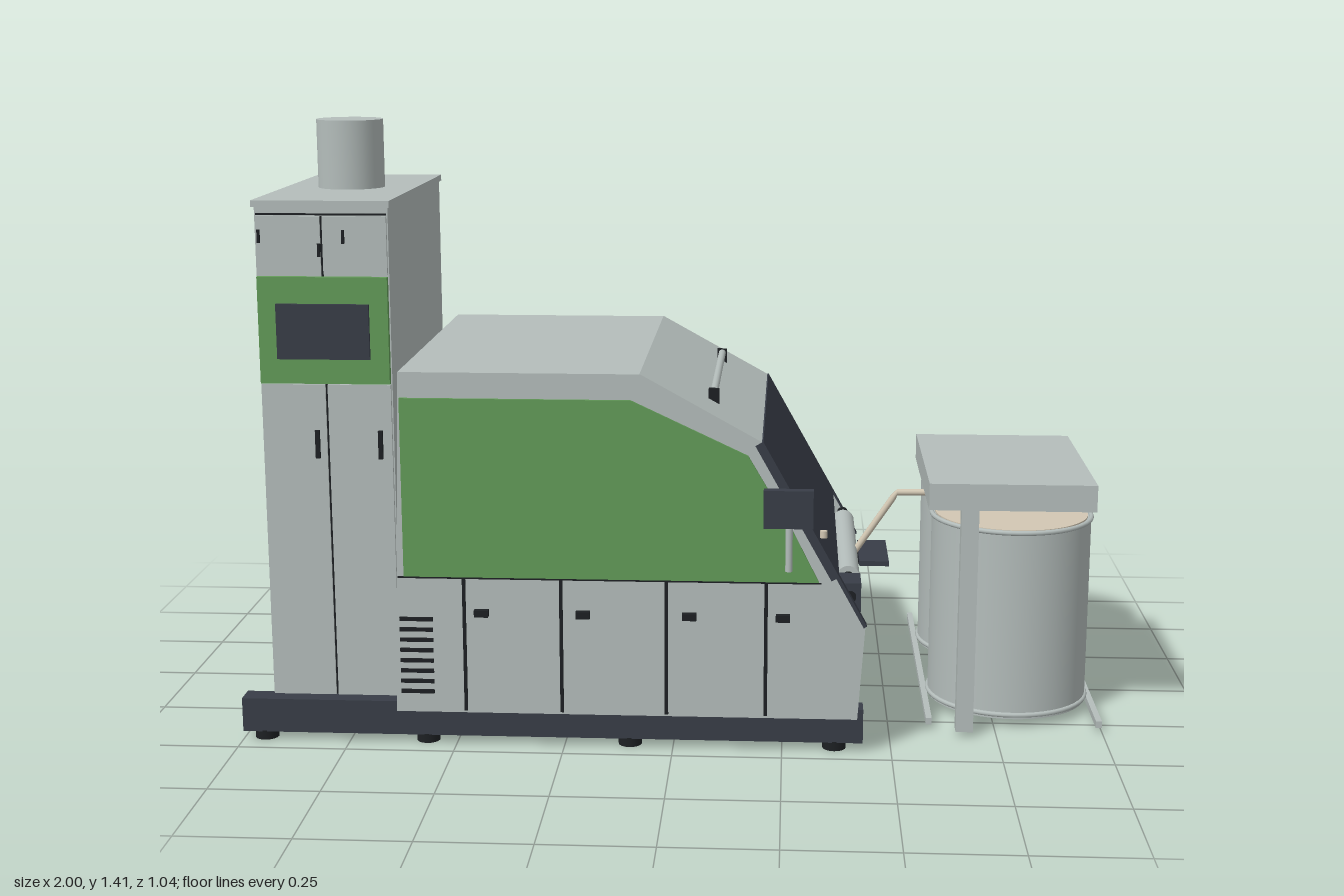
import * as THREE from 'three';

const mat = (name, color, side = THREE.FrontSide) => {
  const m = new THREE.MeshStandardMaterial({ color, side });
  m.name = name;
  return m;
};

export function createModel() {
  const grey = mat('pale grey paint', 0xb4bdbb);
  const green = mat('green paint', 0x639c59);
  const dark = mat('dark slate', 0x383d47);
  const black = mat('black', 0x1d2023);
  const teal = mat('teal', 0x1f6274);
  const tan = mat('cream fibre', 0xd2c7b3);
  const root = new THREE.Group();
  root.name = 'cardingMachine';

  const add = (name, geo, m, parent = root) => {
    const mesh = new THREE.Mesh(geo, m);
    mesh.name = name;
    parent.add(mesh);
    return mesh;
  };
  // Box given by its extents
  const box = (name, m, x0, x1, y0, y1, z0, z1, parent) => {
    const b = add(name, new THREE.BoxGeometry(x1 - x0, y1 - y0, z1 - z0), m, parent);
    b.position.set((x0 + x1) / 2, (y0 + y1) / 2, (z0 + z1) / 2);
    return b;
  };
  // Upright cylinder from y0 to y1
  const post = (name, m, r, x, z, y0, y1, parent, seg = 32) => {
    const c = add(name, new THREE.CylinderGeometry(r, r, y1 - y0, seg), m, parent);
    c.position.set(x, (y0 + y1) / 2, z);
    return c;
  };
  // Cylinder lying along z
  const roll = (name, m, r, x, y, z0, z1, parent, seg = 40) => {
    const c = add(name, new THREE.CylinderGeometry(r, r, z1 - z0, seg), m, parent);
    c.rotation.x = Math.PI / 2;
    c.position.set(x, y, (z0 + z1) / 2);
    return c;
  };
  // Outline in x, y pushed along z
  const slab = (name, m, pts, z0, z1, parent) => {
    const s = new THREE.Shape(pts.map(p => new THREE.Vector2(...p)));
    const e = add(name, new THREE.ExtrudeGeometry(s, { depth: z1 - z0, bevelEnabled: false }), m, parent);
    e.position.z = z0;
    return e;
  };
  // Thin sheet between two profile points, thickness towards the inside
  const sheet = (name, m, a, b, t, z0, z1, parent) => {
    const dx = b[0] - a[0], dy = b[1] - a[1], l = Math.hypot(dx, dy);
    const nx = dy / l * t, ny = -dx / l * t;
    return slab(name, m, [a, [a[0] + nx, a[1] + ny], [b[0] + nx, b[1] + ny], b], z0, z1, parent);
  };

  // Base rails and feet
  const base = new THREE.Group();
  base.name = 'base';
  root.add(base);
  for (const z of [-0.265, 0.425]) {
    box('baseRail', dark, -1, 0.435, 0.02, 0.1, z - 0.026, z + 0.026, base);
    for (const x of [-0.95, -0.57, -0.1, 0.37]) post('foot', black, 0.027, x, z, 0, 0.022, base, 16);
  }
  box('crossBeam', dark, -0.06, 0, 0.04, 0.09, -0.25, 0.41, base);

  // Filter tower with chimney
  const tower = new THREE.Group();
  tower.name = 'tower';
  root.add(tower);
  box('towerBody', grey, -0.935, -0.635, 0.08, 1.24, -0.25, 0.405, tower);
  box('towerRoof', grey, -0.94, -0.63, 1.235, 1.25, -0.255, 0.415, tower);
  box('towerFloor', teal, -0.92, -0.65, 0.073, 0.081, -0.235, 0.39, tower);
  post('chimney', grey, 0.078, -0.785, 0.08, 1.25, 1.41, tower);
  for (const [x0, x1] of [[-0.932, -0.787], [-0.782, -0.638]]) {
    box('towerDoor', grey, x0, x1, 0.1, 0.835, 0.4, 0.412, tower);
    box('towerUpperDoor', grey, x0, x1, 1.085, 1.215, 0.4, 0.412, tower);
  }
  box('doorSeam', black, -0.787, -0.782, 0.1, 1.215, 0.403, 0.408, tower);
  box('roofSeam', black, -0.932, -0.638, 1.217, 1.221, 0.403, 0.408, tower);
  box('controlPanel', green, -0.932, -0.638, 0.838, 1.08, 0.4, 0.42, tower);
  box('screen', dark, -0.89, -0.68, 0.895, 1.02, 0.42, 0.428, tower);
  for (const x of [-0.808, -0.664]) box('towerHandle', black, x - 0.005, x + 0.005, 0.665, 0.73, 0.41, 0.42, tower);
  for (const [x, y] of [[-0.925, 1.17], [-0.79, 1.14], [-0.735, 1.17]])
    box('latch', black, x - 0.003, x + 0.003, y - 0.015, y + 0.015, 0.41, 0.418, tower);

  // Main housing: two side walls joined by covers
  const housing = new THREE.Group();
  housing.name = 'housing';
  root.add(housing);
  const wall = [[-0.63, 0.09], [0.42, 0.09], [0.435, 0.31], [0.2, 0.73], [-0.07, 0.88], [-0.607, 0.88]];
  const greenPanel = [[-0.605, 0.412], [0.33, 0.412], [0.27, 0.53], [0.17, 0.7], [-0.09, 0.822], [-0.605, 0.822]];
  for (const [zIn, s] of [[0.46, 1], [-0.3, -1]]) {
    // d measures outwards from the inner face of the wall
    const span = (d0, d1) => [zIn + s * d0, zIn + s * d1].sort((a, b) => a - b);
    slab('sideWall', grey, wall, ...span(0, 0.027), housing);
    slab('greenSidePanel', green, greenPanel, ...span(0.025, 0.033), housing);
    box('panelSeam', black, -0.62, 0.335, 0.407, 0.411, ...span(0.025, 0.0285), housing);
    for (const x of [-0.47, -0.25, -0.012, 0.212])
      box('doorGap', black, x - 0.004, x + 0.004, 0.095, 0.41, ...span(0.025, 0.0285), housing);
    for (const x of [-0.43, -0.2, 0.04, 0.25])
      box('doorHandle', black, x - 0.016, x + 0.016, 0.321, 0.337, ...span(0.025, 0.042), housing);
    for (let i = 0; i < 8; i++) {
      const y = 0.135 + i * 0.0245;
      box('ventSlot', black, -0.618, -0.542, y, y + 0.009, ...span(0.025, 0.031), housing);
    }
  }
  sheet('roofCover', grey, [-0.607, 0.88], [-0.07, 0.88], 0.02, -0.328, 0.488, housing);
  sheet('slopedCover', grey, [-0.07, 0.881], [0.2, 0.731], 0.02, -0.328, 0.488, housing);
  sheet('frontCover', dark, [0.203, 0.732], [0.375, 0.425], 0.02, -0.33, 0.49, housing);
  sheet('frontInnerCover', dark, [0.365, 0.435], [0.3, 0.3], 0.02, -0.3, 0.46, housing);
  for (const z of [-0.33, 0.463]) sheet('frontEdgeTrim', dark, [0.375, 0.425], [0.438, 0.311], 0.008, z, z + 0.027, housing);

  // Rear ducting seen behind the tower
  box('rearWall', dark, -0.57, -0.55, 0.3, 0.7, -0.3, 0.46, housing);
  box('rearHood', grey, -0.585, -0.55, 0.68, 0.865, -0.3, 0.46, housing);
  for (let i = 0; i < 6; i++) box('rearRib', black, -0.592, -0.58, 0.7 + i * 0.026, 0.708 + i * 0.026, -0.3, 0.46, housing);
  post('rearPipe', grey, 0.025, -0.605, -0.22, 0.15, 0.66, housing, 20);

  // Grab bar on the sloped cover
  roll('grabBar', grey, 0.009, 0.088, 0.812, -0.18, 0.34, housing, 12);
  for (const z of [-0.18, 0.34]) box('grabBarEnd', black, 0.076, 0.1, 0.785, 0.822, z - 0.006, z + 0.006, housing);

  // Carding rollers under and in front of the housing
  const rollers = new THREE.Group();
  rollers.name = 'rollers';
  root.add(rollers);
  roll('doffer', teal, 0.135, 0.24, 0.235, -0.28, 0.4, rollers);
  roll('mainCylinder', dark, 0.2, -0.11, 0.31, -0.28, 0.44, rollers);
  roll('takerIn', black, 0.08, -0.38, 0.22, -0.28, 0.44, rollers);
  for (const [x, y] of [[0.4, 0.37], [0.37, 0.33]]) {
    roll('deliveryRoller', grey, 0.027, x, y, -0.22, 0.3, rollers, 24);
    roll('rollerShaft', black, 0.014, x, y, -0.3, 0.46, rollers, 16);
  }
  for (const [x, y] of [[0.39, 0.368], [0.37, 0.255]]) {
    box('motor', dark, x - 0.035, x + 0.035, y - 0.033, y + 0.033, 0.37, 0.455, rollers);
    roll('motorCollar', grey, 0.02, x, y, 0.33, 0.37, rollers, 16);
  }
  box('deliveryTable', dark, 0.43, 0.5, 0.36, 0.372, -0.02, 0.17, rollers);
  box('tableBracket', black, 0.36, 0.47, 0.345, 0.36, 0.05, 0.1, rollers);

  // Operator display on the front side
  const display = new THREE.Group();
  display.name = 'display';
  root.add(display);
  box('displayCase', dark, 0.205, 0.315, 0.542, 0.628, 0.495, 0.518, display);
  post('displayStem', grey, 0.008, 0.262, 0.5, 0.44, 0.55, display, 12);
  post('knob', tan, 0.008, 0.338, 0.512, 0.522, 0.538, display, 12);

  // Sliver guide running to the coiler
  const path = new THREE.CurvePath();
  const pts = [[0.41, 0.355], [0.52, 0.52], [0.72, 0.522]].map(p => new THREE.Vector3(p[0], p[1], 0.08));
  path.add(new THREE.LineCurve3(pts[0], pts[1]));
  path.add(new THREE.LineCurve3(pts[1], pts[2]));
  add('sliverGuide', new THREE.TubeGeometry(path, 24, 0.008, 10), tan);

  // Coiler stand over the first can
  const coiler = new THREE.Group();
  coiler.name = 'coiler';
  root.add(coiler);
  box('coilerHead', grey, 0.58, 0.96, 0.545, 0.607, -0.182, 0.345, coiler);
  for (const z of [0.323, -0.162]) box('coilerPost', grey, 0.655, 0.695, 0.01, 0.546, z - 0.017, z + 0.017, coiler);
  post('coilerPlate', grey, 0.18, 0.79, 0.07, 0.53, 0.546, coiler);
  post('coilerSpout', black, 0.028, 0.865, 0.07, 0.518, 0.531, coiler, 20);
  box('sensor', black, 0.64, 0.71, 0.5, 0.525, 0.06, 0.1, coiler);
  for (const x of [0.595, 0.992]) box('floorRail', grey, x - 0.007, x + 0.007, 0.012, 0.028, -0.525, 0.3, coiler);

  // Two sliver cans
  for (const z of [0.085, -0.325]) {
    const can = new THREE.Group();
    can.name = 'sliverCan';
    can.position.set(0.795, 0, z);
    root.add(can);
    post('canBody', grey, 0.19, 0, 0, 0.02, 0.475, can, 48);
    for (const y of [0.03, 0.474]) {
      const rim = add('canRim', new THREE.TorusGeometry(0.19, 0.006, 8, 48), grey, can);
      rim.rotation.x = Math.PI / 2;
      rim.position.y = y;
    }
    post('fibreFill', tan, 0.182, 0, 0, 0.47, 0.479, can, 48);
    for (let i = 0; i < 4; i++) {
      const a = i * Math.PI / 2 + 0.4;
      post('caster', black, 0.016, 0.11 * Math.cos(a), 0.11 * Math.sin(a), 0.004, 0.022, can, 12);
    }
  }
  return root;
}
